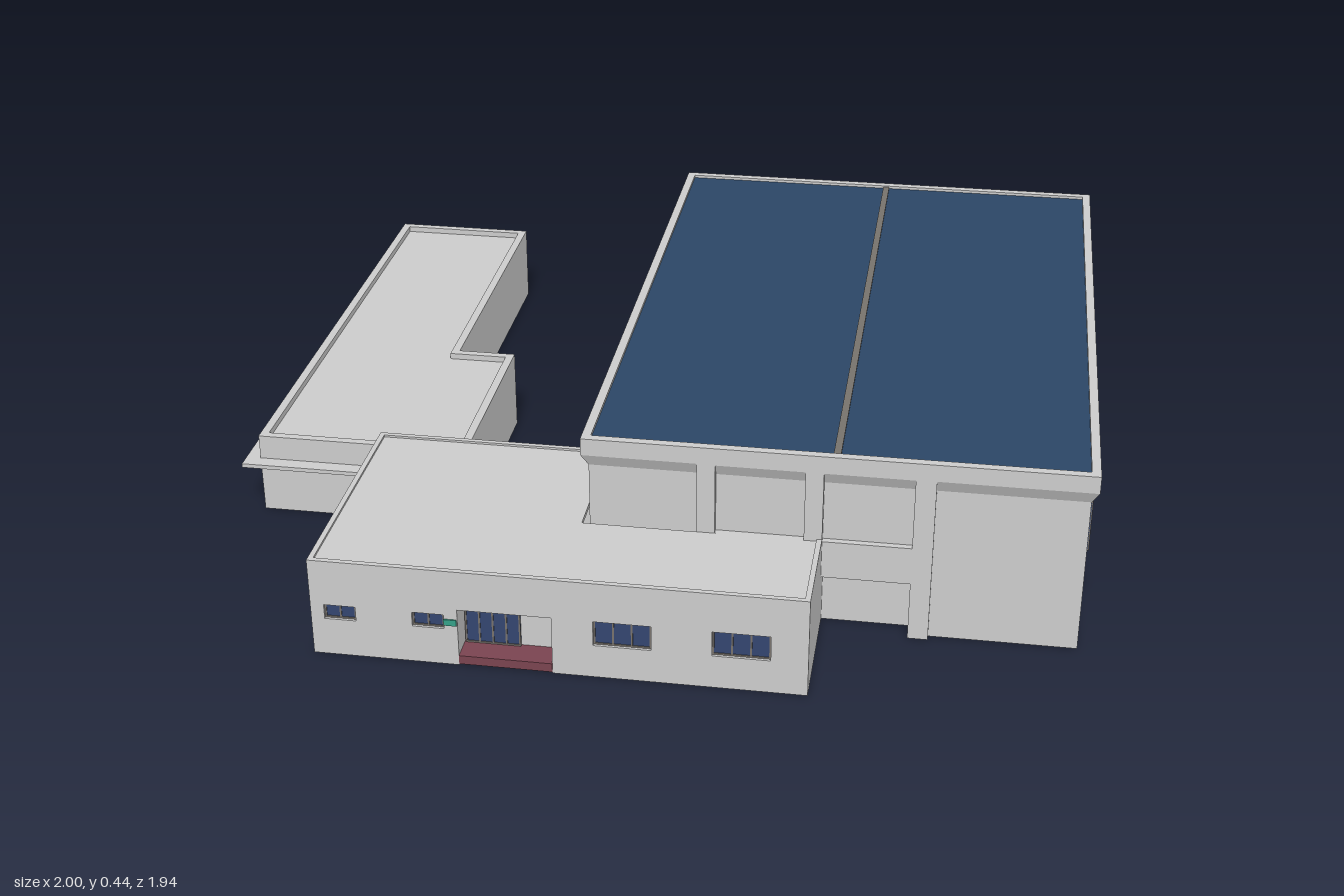
import * as THREE from 'three';

const mat = (color) => new THREE.MeshStandardMaterial({ color });
const grey = mat(0xcccccc), roofBlue = mat(0x2b4666), glass = mat(0x33456f);
const trim = mat(0x77726c), red = mat(0x7a4450), green = mat(0x35a088);

function box(parent, name, x0, x1, y0, y1, z0, z1, m = grey) {
  const mesh = new THREE.Mesh(new THREE.BoxGeometry(x1 - x0, y1 - y0, z1 - z0), m);
  mesh.position.set((x0 + x1) / 2, (y0 + y1) / 2, (z0 + z1) / 2);
  mesh.name = name;
  parent.add(mesh);
  return mesh;
}

function group(parent, name) {
  const g = new THREE.Group();
  g.name = name;
  parent.add(g);
  return g;
}

// Upright sheet from z0 to z1 with doorways cut from the ground and rectangular holes
function sheet(parent, name, a, b, h, doors, holes, z0, z1) {
  const s = new THREE.Shape().moveTo(a, 0);
  for (const [d0, d1, top] of [...doors].sort((p, q) => p[0] - q[0]))
    s.lineTo(d0, 0).lineTo(d0, top).lineTo(d1, top).lineTo(d1, 0);
  s.lineTo(b, 0).lineTo(b, h).lineTo(a, h).closePath();
  for (const [x0, x1, y0, y1] of holes)
    s.holes.push(new THREE.Path().moveTo(x0, y0).lineTo(x0, y1).lineTo(x1, y1).lineTo(x1, y0).closePath());
  const geo = new THREE.ExtrudeGeometry(s, { depth: z1 - z0, bevelEnabled: false });
  const mesh = new THREE.Mesh(geo, grey);
  mesh.position.z = z0;
  mesh.name = name;
  parent.add(mesh);
}

// Glazed panel with a frame and a grid of bars, facing +z
function windowPanel(parent, x0, x1, y0, y1, z, cols, rows, bar = 0.004) {
  const g = group(parent, 'window');
  box(g, 'glass', x0, x1, y0, y1, z - 0.003, z, glass);
  for (let i = 0; i <= cols; i++) {
    const x = x0 + (x1 - x0 - bar) * i / cols;
    box(g, 'upright', x, x + bar, y0, y1, z - 0.002, z + 0.002, trim);
  }
  for (let j = 0; j <= rows; j++) {
    const y = y0 + (y1 - y0 - bar) * j / rows;
    box(g, 'crossbar', x0, x1, y, y + bar, z - 0.002, z + 0.002, trim);
  }
}

const D = 0.015, DEEP = 0.05, DOOR = 0.14;

// Hall facade: outer skin, inner sheet and deep ground bays with sloped tops
function facade(parent, skin, inner, bays, panels) {
  const doors = bays.map(([a, b]) => [a, b, DOOR]);
  sheet(parent, 'outerSkin', ...skin, 0.4, doors, panels.map(([a, b]) => [a, b, 0.23, 0.399]), -D, 0);
  sheet(parent, 'innerSheet', ...inner, 0.44, doors, [], -D - 0.005, -D);
  for (const [a, b] of bays) {
    const bay = group(parent, 'groundBay');
    box(bay, 'bayPanel', a, b, 0, DOOR, -DEEP - 0.004, -DEEP);
    box(bay, 'post', a - 0.017, a, 0, DOOR, -DEEP - 0.004, -0.001);
    box(bay, 'post', b, b + 0.017, 0, DOOR, -DEEP - 0.004, -0.001);
    const wedge = new THREE.Shape().moveTo(0, DOOR).lineTo(DEEP, DOOR).lineTo(DEEP, 0.115).closePath();
    const geo = new THREE.ExtrudeGeometry(wedge, { depth: b - a, bevelEnabled: false });
    const soffit = new THREE.Mesh(geo, grey);
    soffit.rotation.y = Math.PI / 2;
    soffit.position.x = a;
    soffit.name = 'slopedSoffit';
    bay.add(soffit);
  }
}

function buildHall(root) {
  const hall = group(root, 'hall');
  const [L, R, B, F] = [-0.11, 1, -0.865, 0.72];
  const windows = [[0.455, 0.67], [-0.055, 0.165], [-0.31, -0.095], [-0.82, -0.6]];
  const bays = [[0.2, 0.42], [-0.055, 0.165], [-0.31, -0.095], [-0.565, -0.345]];

  // Long side walls, one turned to each side
  for (const s of [1, -1]) {
    const wall = group(hall, s > 0 ? 'leftWall' : 'rightWall');
    wall.position.x = s > 0 ? R : L;
    wall.rotation.y = s * Math.PI / 2;
    const turn = ([a, b]) => (s > 0 ? [-b, -a] : [a, b]);
    facade(wall, turn([B, 0.455]), turn([B, F - D]), bays.map(turn), windows.slice(1).map(turn));
    for (const w of windows) windowPanel(wall, ...turn(w), 0.23, 0.37, -D + 0.004, 9, 6);
  }

  // Front wall with recessed panels
  const front = group(hall, 'frontWall');
  front.position.z = F;
  facade(front, [0.145, 0.66], [L + D, R - D], [[0.42, 0.615]], [[0.185, 0.38], [0.42, 0.615]]);
  box(hall, 'backWall', L, R, 0, 0.44, B, B + 0.02);

  // Sloped band that carries the fascia out over the recesses
  const band = new THREE.CylinderGeometry(1, 1, 0.03, 4, 1, true, Math.PI / 4).toNonIndexed();
  const p = band.attributes.position;
  for (let i = 0; i < p.count; i++) {
    const inset = p.getY(i) < 0 ? D : 0;
    p.setX(i, p.getX(i) > 0 ? R - inset : L + inset);
    p.setZ(i, p.getZ(i) > 0 ? F - inset : B);
  }
  band.computeVertexNormals();
  const bandMesh = new THREE.Mesh(band, grey);
  bandMesh.position.y = 0.385;
  bandMesh.name = 'slopedBand';
  hall.add(bandMesh);

  // Fascia, roof and ridge
  box(hall, 'fascia', L, L + D, 0.4, 0.44, B, F);
  box(hall, 'fascia', R - D, R, 0.4, 0.44, B, F);
  box(hall, 'fascia', L, R, 0.4, 0.44, F - D, F);
  box(hall, 'roof', L + D, R - D, 0.425, 0.433, B + D, F - D, roofBlue);
  box(hall, 'ridgeStrip', 0.437, 0.453, 0.43, 0.437, B + 0.02, F - 0.02, trim);
}

function buildEntrance(root) {
  const g = group(root, 'entranceBlock');
  const H = 0.235, T = 0.012;
  const [x0, x1, z0, z1] = [-0.66, 0.42, 0.39, 0.97];

  // Front wall with windows and door niche
  const wins = [[-0.63, -0.56, 0.09, 0.125, 2], [-0.435, -0.365, 0.09, 0.125, 2],
    [-0.04, 0.085, 0.08, 0.14, 3], [0.215, 0.34, 0.08, 0.14, 3]];
  const front = group(g, 'frontWall');
  front.position.z = z1;
  sheet(front, 'wall', x0, x1, H, [[-0.335, -0.13, DOOR]], wins.map((w) => w.slice(0, 4)), -T, 0);
  for (const [a, b, c, d, n] of wins) windowPanel(front, a, b, c, d, -0.008, n, 1);
  box(front, 'nicheBack', -0.335, -0.13, 0, DOOR, -0.064, -0.06);
  box(front, 'nicheSide', -0.339, -0.335, 0, DOOR, -0.064, -T);
  box(front, 'nicheSide', -0.13, -0.126, 0, DOOR, -0.064, -T);
  box(front, 'nicheCeiling', -0.339, -0.126, DOOR, DOOR + 0.004, -0.064, -T);
  windowPanel(front, -0.333, -0.21, 0.025, 0.138, -0.055, 4, 1);
  box(front, 'entranceStep', -0.335, -0.13, 0.004, 0.025, -0.06, 0.002, red);
  box(front, 'wallPlate', -0.365, -0.337, 0.1, 0.115, -0.002, 0.003, green);

  // Other walls and the roof around the hall corner
  box(g, 'sideWall', x0, x0 + T, 0, H, z0, z1 - T);
  box(g, 'sideWall', x1 - T, x1, 0, H, 0.72, z1 - T);
  box(g, 'backWall', x0 + T, -0.11, 0, H, z0, z0 + T);
  box(g, 'roof', x0 + T, -0.11, 0.22, 0.23, z0 + T, z1 - T);
  box(g, 'roof', -0.11, x1 - T, 0.22, 0.23, 0.72, z1 - T);
}

function buildAnnex(root) {
  const g = group(root, 'annex');
  // Shapes lie in the ground plane, drawn as (x, -z)
  const outline = (i, Cls = THREE.Shape) => new Cls([
    [-0.965 + i, 0.39 - i], [-0.455 - i, 0.39 - i], [-0.455 - i, -0.135 + i],
    [-0.6 - i, -0.135 + i], [-0.6 - i, -0.935 + i], [-0.965 + i, -0.935 + i],
  ].map(([x, z]) => new THREE.Vector2(x, -z)));
  const slab = (name, shape, y, depth) => {
    const mesh = new THREE.Mesh(new THREE.ExtrudeGeometry(shape, { depth, bevelEnabled: false }), grey);
    mesh.rotation.x = -Math.PI / 2;
    mesh.position.y = y;
    mesh.name = name;
    g.add(mesh);
  };
  slab('body', outline(0), 0, 0.185);
  const rim = outline(0);
  rim.holes.push(outline(0.02, THREE.Path));
  slab('parapet', rim, 0.185, 0.015);

  // Canopy wrapping the outer side and both ends
  box(g, 'canopy', -1, -0.96, 0.13, 0.14, -0.972, 0.425);
  box(g, 'canopy', -0.96, -0.785, 0.13, 0.14, -0.972, -0.93);
  box(g, 'canopy', -0.96, -0.66, 0.13, 0.14, 0.385, 0.425);
  box(g, 'canopy', -0.7, -0.66, 0.132, 0.145, 0.39, 0.515);

  // Row of windows and doors on the outer side
  const face = group(g, 'outerSide');
  face.position.x = -0.965;
  face.rotation.y = -Math.PI / 2;
  for (let i = 0; i < 10; i++) {
    const z = -0.83 + i * 0.125;
    if (i === 4 || i === 7) {
      box(face, 'door', z - 0.025, z + 0.025, 0.005, 0.11, -0.002, 0.003, green);
      box(face, 'doorStep', z - 0.03, z + 0.03, 0, 0.006, 0, 0.02, red);
    } else windowPanel(face, z - 0.033, z + 0.033, 0.075, 0.12, 0.002, 2, 1);
  }
}

export function createModel() {
  const root = new THREE.Group();
  root.name = 'building';
  buildHall(root);
  buildEntrance(root);
  buildAnnex(root);
  return root;
}
